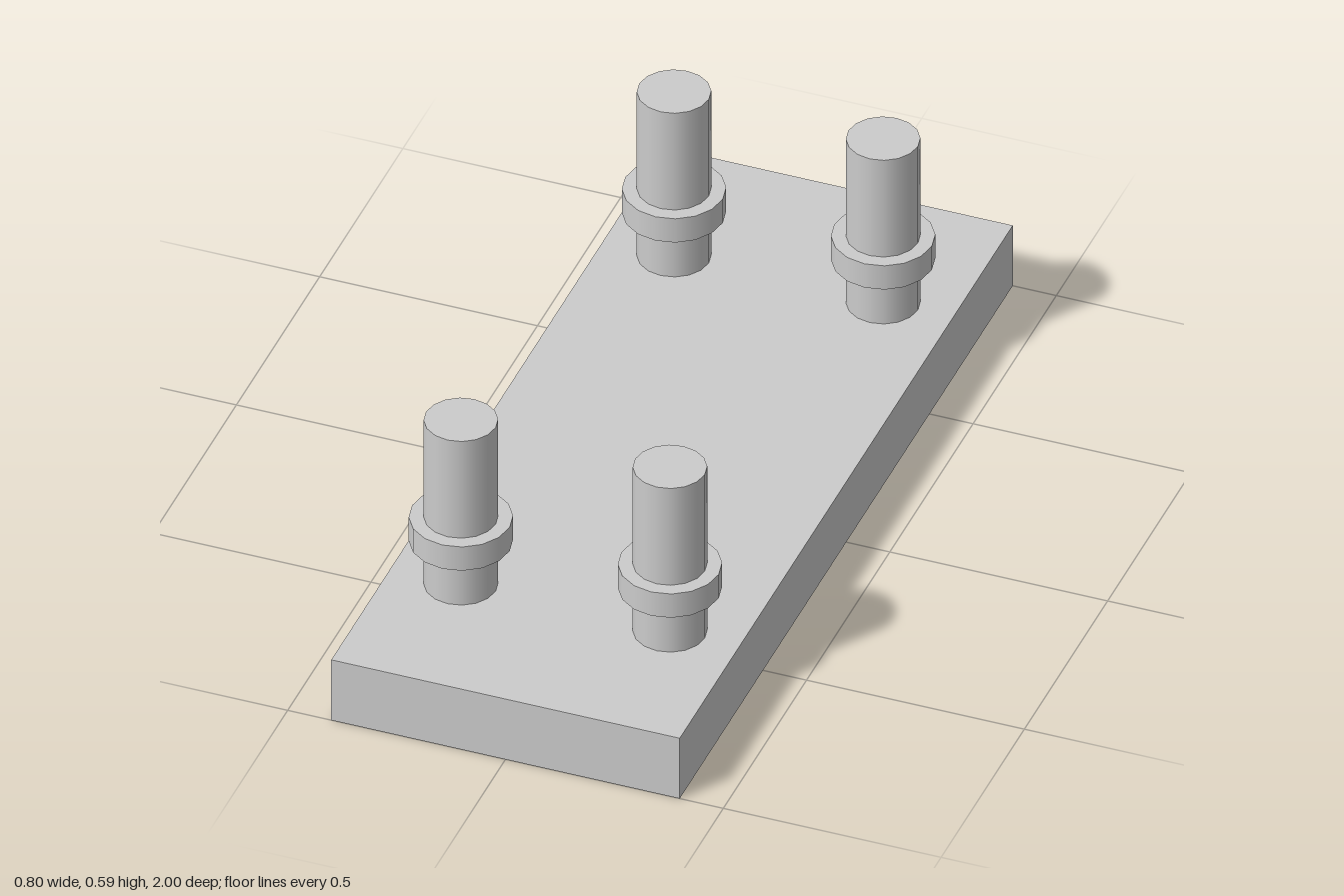
import * as THREE from 'three';

export function createModel() {
  const model = new THREE.Group();
  model.name = 'baseWithPosts';
  const grey = new THREE.MeshStandardMaterial({ color: 0xcccccc });
  grey.name = 'light grey';

  const add = (parent, geometry, name, y) => {
    const mesh = new THREE.Mesh(geometry, grey);
    mesh.name = name;
    mesh.position.y = y;
    parent.add(mesh);
  };

  // Flat rectangular base
  add(model, new THREE.BoxGeometry(0.8, 0.16, 2), 'base', 0.08);

  // Four upright pins, each with a raised collar
  const pin = new THREE.CylinderGeometry(0.08, 0.08, 0.434, 16);
  const collar = new THREE.CylinderGeometry(0.112, 0.112, 0.063, 16);
  for (const [front, z] of [['front', 0.64], ['back', -0.64]]) {
    for (const [side, x] of [['Left', 0.24], ['Right', -0.24]]) {
      const post = new THREE.Group();
      post.name = `${front}${side}Post`;
      post.position.set(x, 0, z);
      add(post, pin, 'pin', 0.377);
      add(post, collar, 'collar', 0.306);
      model.add(post);
    }
  }
  return model;
}
